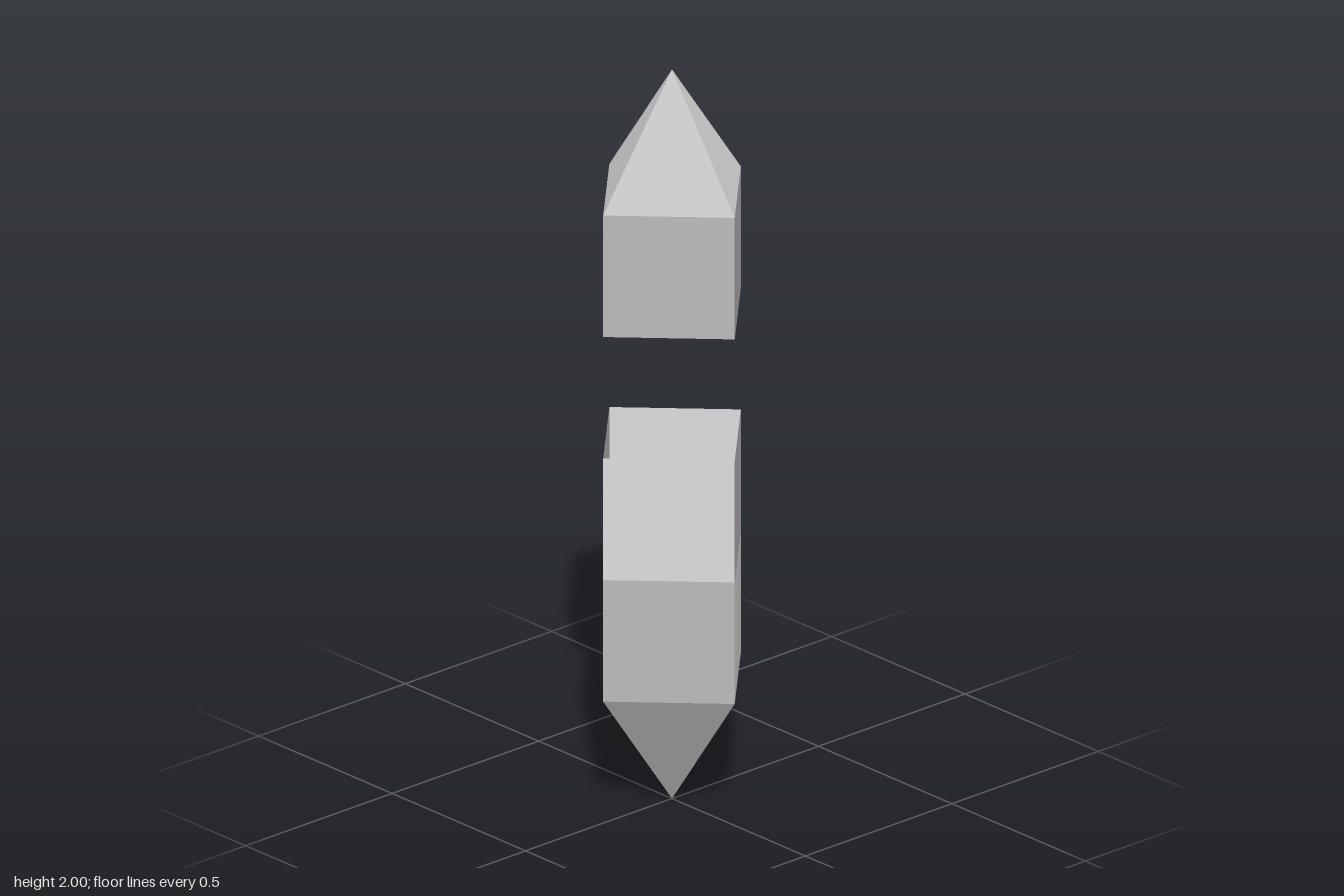
import * as THREE from 'three';

const RADIUS = 0.235;
const TIER = 1 / 3;

export function createModel() {
  const model = new THREE.Group();
  model.name = 'splitSpire';

  const make = (name, color) => {
    const m = new THREE.MeshStandardMaterial({ color, side: THREE.DoubleSide, flatShading: true });
    m.name = name;
    return m;
  };
  const midGrey = make('midGrey', 0xbbbbbb);
  const paleGrey = make('paleGrey', 0xdddddd);

  // One open four-sided tier; opposite sides share a shade.
  function addTier(parent, name, level, rTop, rBottom, shades) {
    let geo = new THREE.CylinderGeometry(rTop, rBottom, TIER, 4, 1, true).toNonIndexed();
    geo.computeVertexNormals();
    geo.clearGroups();
    const perSide = geo.attributes.position.count / 4;
    for (let i = 0; i < 4; i++) geo.addGroup(i * perSide, perSide, i % 2);
    const mesh = new THREE.Mesh(geo, shades);
    mesh.name = name;
    mesh.position.y = (level + 0.5) * TIER;
    parent.add(mesh);
  }

  // Lower piece: downward point and two wall tiers, open at the top
  const lower = new THREE.Group();
  lower.name = 'lowerPiece';
  addTier(lower, 'bottomPoint', 0, RADIUS, 0, [midGrey, midGrey]);
  addTier(lower, 'lowerWalls', 1, RADIUS, RADIUS, [paleGrey, midGrey]);
  addTier(lower, 'middleWalls', 2, RADIUS, RADIUS, [midGrey, paleGrey]);

  // Upper piece: one wall tier open below, with a pointed roof
  const upper = new THREE.Group();
  upper.name = 'upperPiece';
  addTier(upper, 'upperWalls', 4, RADIUS, RADIUS, [midGrey, midGrey]);
  addTier(upper, 'topPoint', 5, 0, RADIUS, [paleGrey, midGrey]);

  model.add(lower, upper);
  return model;
}
